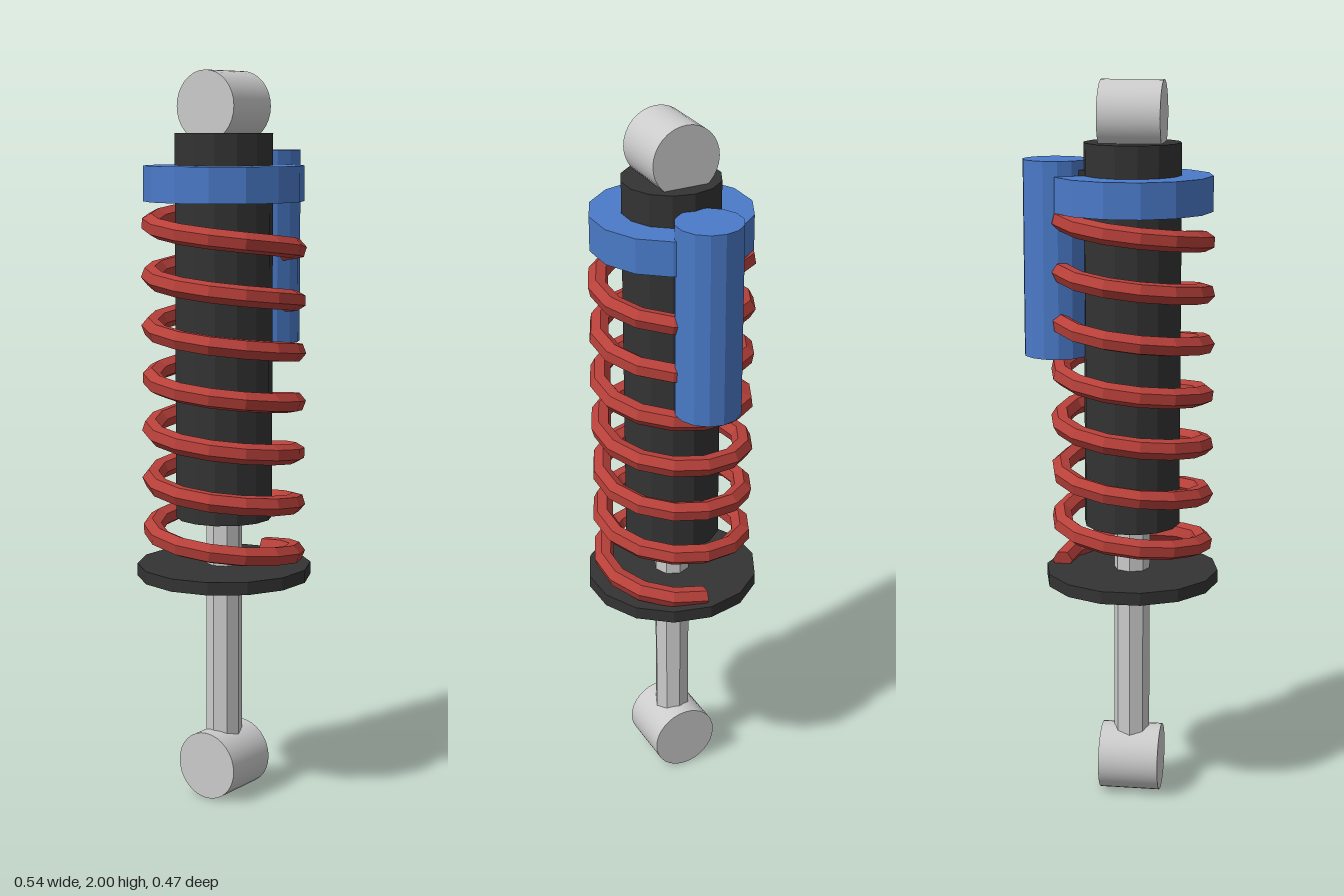
import * as THREE from 'three';

const AXIS_X = -0.028;   // centre line of the damper
const SIDES = 14;

const material = (color, flatShading = true) =>
  new THREE.MeshStandardMaterial({ color, flatShading });

function addMesh(parent, name, geometry, mat) {
  const mesh = new THREE.Mesh(geometry, mat);
  mesh.name = name;
  parent.add(mesh);
  return mesh;
}

// Upright prism between two heights, with a corner pointing along x
function prism(radius, y0, y1, x = AXIS_X, sides = SIDES) {
  return new THREE.CylinderGeometry(radius, radius, y1 - y0, sides)
    .rotateY(Math.PI / 2)
    .translate(x, (y0 + y1) / 2, 0);
}

// Coil path, starting on the +x side and climbing
class Helix extends THREE.Curve {
  constructor(radius, y0, y1, turns) {
    super();
    Object.assign(this, { radius, y0, y1, turns });
  }
  getPoint(t, target = new THREE.Vector3()) {
    const a = t * this.turns * Math.PI * 2;
    return target.set(
      AXIS_X + this.radius * Math.cos(a),
      this.y0 + (this.y1 - this.y0) * t,
      this.radius * Math.sin(a));
  }
}

export function createModel() {
  const group = new THREE.Group();
  group.name = 'shockAbsorber';

  const steel = material(0xcccccc);
  const steelSmooth = material(0xcccccc, false);
  const dark = material(0x333333);
  const blue = material(0x4a7ac8);
  const red = material(0xb8403a);

  // Mounting eyes at both ends, lying along x
  for (const [name, y] of [['lowerEye', 0.094], ['upperEye', 1.906]]) {
    const eye = new THREE.CylinderGeometry(0.094, 0.094, 0.168, 32)
      .rotateZ(Math.PI / 2)
      .translate(AXIS_X, y, 0);
    addMesh(group, name, eye, steelSmooth);
  }

  // Piston rod and damper body
  addMesh(group, 'pistonRod', prism(0.05, 0.15, 0.9, AXIS_X, 8), steel);
  addMesh(group, 'damperBody', prism(0.132, 0.79, 1.836), dark);

  // Spring seats
  addMesh(group, 'lowerSpringPlate', prism(0.24, 0.625, 0.66), dark);
  addMesh(group, 'upperCollar', prism(0.217, 1.655, 1.75), blue);

  // Coil spring with closed ends
  const spring = new THREE.Group();
  spring.name = 'spring';
  group.add(spring);
  const turns = 7, wire = 0.028;
  const helix = new Helix(0.197, 0.67, 1.645, turns);
  addMesh(spring, 'coil', new THREE.TubeGeometry(helix, turns * SIDES, wire, 6), red);
  for (const t of [0, 1]) {
    const cap = addMesh(spring, 'coilEnd', new THREE.CircleGeometry(wire, 6), red);
    const p = helix.getPoint(t);
    const outward = helix.getTangent(t).multiplyScalar(t ? 1 : -1);
    cap.position.copy(p);
    cap.lookAt(p.clone().add(outward));
  }

  // Side reservoir and the bracket joining it to the body
  addMesh(group, 'reservoir', prism(0.089, 1.26, 1.79, 0.18), blue);
  addMesh(group, 'reservoirBracket',
    new THREE.BoxGeometry(0.1, 0.08, 0.1).translate(0.09, 1.725, 0), dark);

  return group;
}
